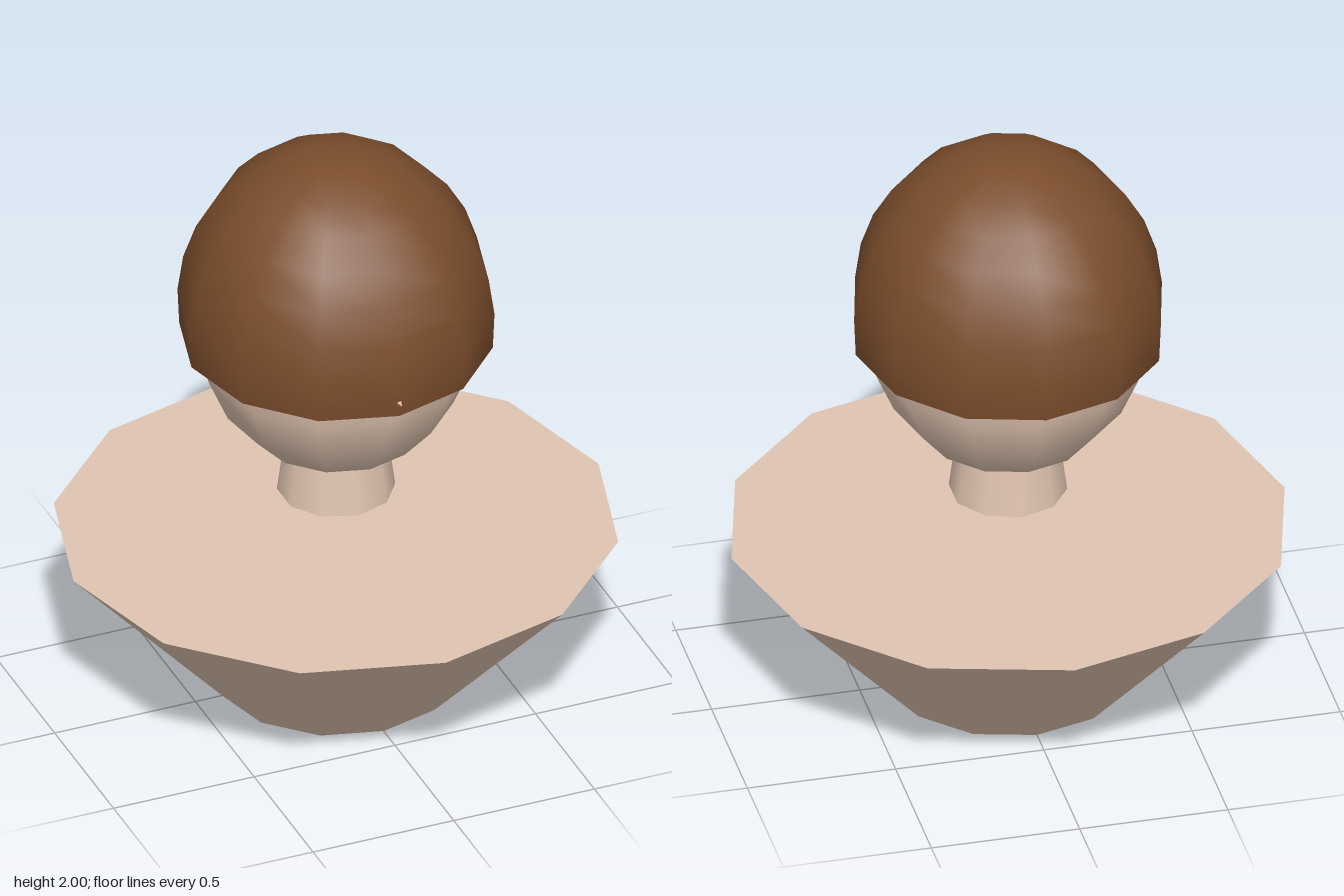
import * as THREE from 'three';

export function createModel() {
  const model = new THREE.Group();
  const skin = new THREE.MeshStandardMaterial({ color: 0xe0c4b0 });
  skin.name = 'skin';
  const brown = new THREE.MeshStandardMaterial({ color: 0x7b4d2c, side: THREE.DoubleSide });
  brown.name = 'hairBrown';

  const add = (name, geometry, material, y, z = 0) => {
    const mesh = new THREE.Mesh(geometry, material);
    mesh.name = name;
    mesh.position.set(0, y, z);
    model.add(mesh);
    return mesh;
  };

  // Flaring torso, 12 sides
  add('torso', new THREE.CylinderGeometry(0.933, 0.405, 0.573, 12), skin, 0.2865);

  // Tapered neck, 10 sides, reaching up into the head
  add('neck', new THREE.CylinderGeometry(0.155, 0.195, 0.3, 10), skin, 0.865);

  // Egg-shaped head
  add('head', new THREE.SphereGeometry(1, 12, 10), skin, 1.4).scale.set(0.476, 0.56, 0.49);

  // Hair cap, open underneath
  add('hair', new THREE.SphereGeometry(1, 12, 8, 0, Math.PI * 2, 0, Math.PI * 0.55), brown, 1.395)
    .scale.set(0.52, 0.605, 0.545);

  // Pointed nose, its tip just clearing the hair
  const nose = new THREE.ConeGeometry(0.04, 0.1, 6);
  nose.rotateX(Math.PI / 2);
  add('nose', nose, skin, 1.35, 0.51);

  return model;
}
